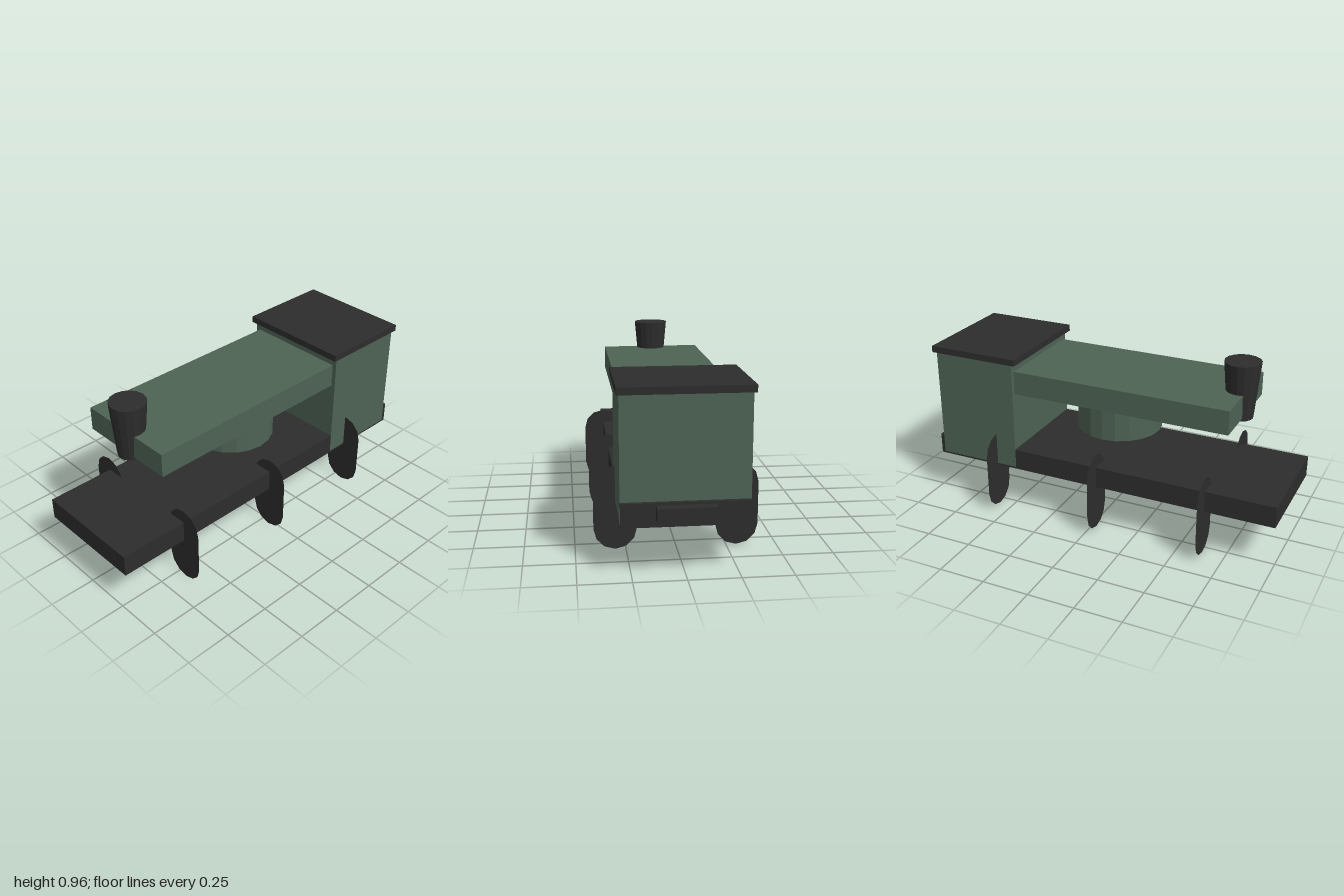
import * as THREE from 'three';

export function createModel() {
  const model = new THREE.Group();
  const green = new THREE.MeshStandardMaterial({ name: 'dull green', color: 0x4e6355, flatShading: true });
  const dark = new THREE.MeshStandardMaterial({ name: 'charcoal', color: 0x2d2d2d, flatShading: true });
  dark.side = THREE.DoubleSide; // the wheels are flat sheets

  const add = (name, geometry, material, x, y, z) => {
    const mesh = new THREE.Mesh(geometry, material);
    mesh.name = name;
    mesh.position.set(x, y, z);
    model.add(mesh);
    return mesh;
  };
  // Box from its limits in x and y, centred on z = 0
  const box = (name, material, x0, x1, y0, y1, depth) =>
    add(name, new THREE.BoxGeometry(x1 - x0, y1 - y0, depth), material, (x0 + x1) / 2, (y0 + y1) / 2, 0);
  // Upright round part, optionally tapered
  const round = (name, material, x, y0, y1, top, bottom, sides) =>
    add(name, new THREE.CylinderGeometry(top, bottom, y1 - y0, sides), material, x, (y0 + y1) / 2, 0);

  // Chassis and bumper
  box('chassis', dark, -1, 0.95, 0.24, 0.355, 0.6);
  box('bumper', dark, 0.95, 1, 0.275, 0.343, 0.277);

  // Cabin with overhanging roof
  box('cabin', green, 0.465, 0.93, 0.25, 0.85, 0.602);
  box('roof', dark, 0.44, 0.95, 0.85, 0.885, 0.626);

  // Raised body, the drum hanging below it and a small boss
  box('body', green, -0.727, 0.465, 0.677, 0.805, 0.555);
  round('drum', green, -0.026, 0.488, 0.68, 0.229, 0.229, 20);
  round('boss', green, 0.262, 0.66, 0.7, 0.073, 0.073, 16);

  // Tapered chimney through the end of the body
  round('chimney', dark, -0.697, 0.66, 0.96, 0.095, 0.068, 16);

  // Flat capsule-shaped wheels, three on each side
  const r = 0.107, outline = [];
  for (let end = 0; end < 2; end++) {
    for (let i = 0; i <= 6; i++) {
      const a = Math.PI * (end + i / 6);
      outline.push(new THREE.Vector2(r * Math.cos(a), (end ? r : 0.322) + r * Math.sin(a)));
    }
  }
  const wheelGeometry = new THREE.ShapeGeometry(new THREE.Shape(outline)).rotateY(Math.PI / 2);
  for (const x of [-0.63, -0.025, 0.58]) {
    for (const side of [-1, 1]) {
      add(side > 0 ? 'frontWheel' : 'backWheel', wheelGeometry, dark, x, 0, side * 0.302);
    }
  }
  return model;
}
